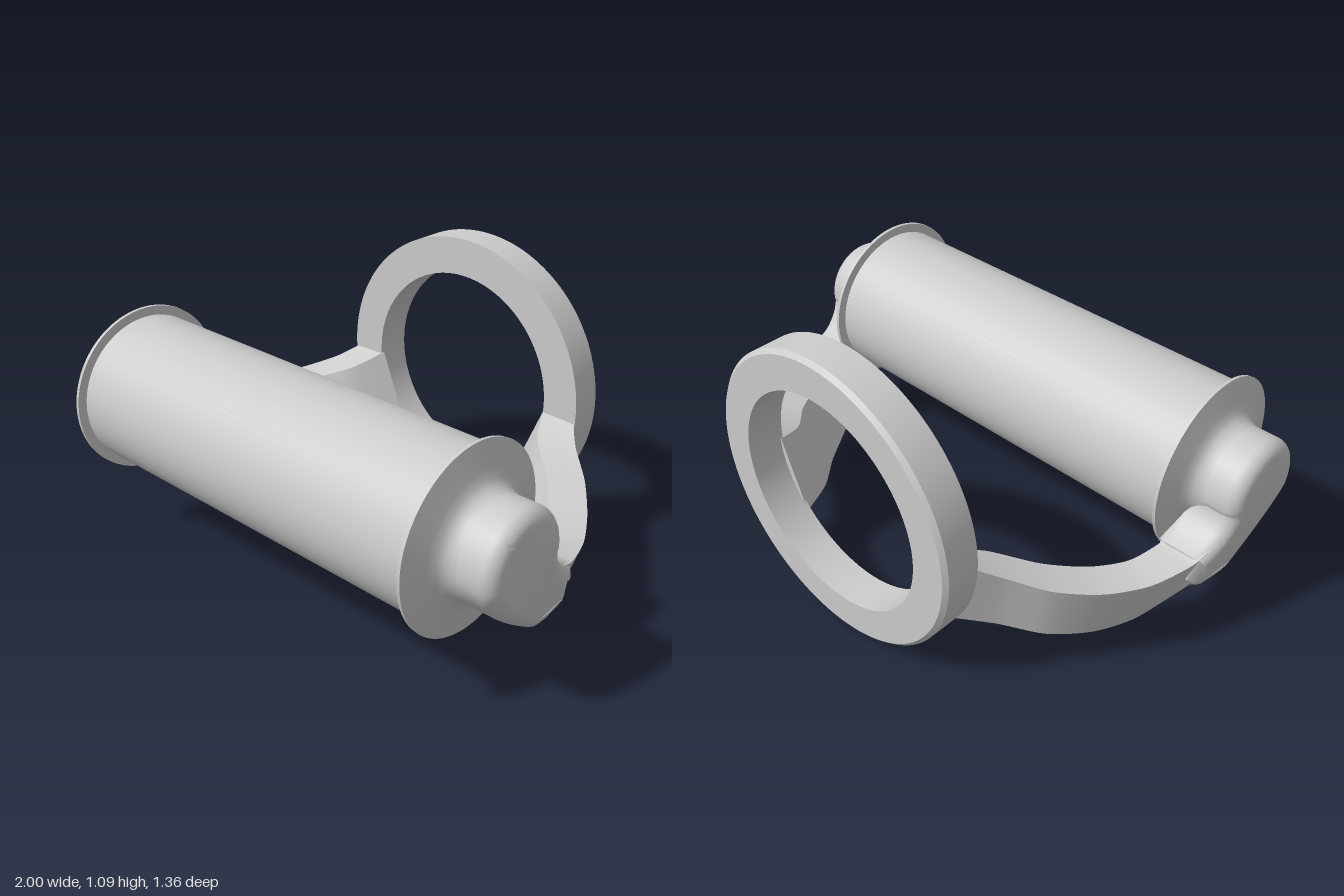
import * as THREE from 'three';
import { toCreasedNormals } from 'three/addons/utils/BufferGeometryUtils.js';

const AXLE_Y = 0.547, AXLE_Z = 0.36;
const material = new THREE.MeshStandardMaterial({ color: 0xcccccc });

function addMesh(parent, name, geometry) {
  const mesh = new THREE.Mesh(geometry, material);
  mesh.name = name;
  parent.add(mesh);
}

const lathe = (points, segments = 96) =>
  toCreasedNormals(new THREE.LatheGeometry(points.map(([r, y]) => new THREE.Vector2(r, y)), segments), 0.5);

// Mirrors a non-indexed geometry across x and restores its winding
function mirrored(geometry) {
  const copy = geometry.clone();
  for (const key of ['position', 'normal']) {
    const a = copy.attributes[key];
    for (let i = 0; i < a.count; i += 3) {
      const t = [0, 2, 1].map((k) => [-a.getX(i + k), a.getY(i + k), a.getZ(i + k)]);
      t.forEach((v, k) => a.setXYZ(i + k, ...v));
    }
  }
  return copy;
}

// Teardrop end knob, drawn in the side plane and extruded outwards
function knobGeometry() {
  const s = new THREE.Shape();
  const r = 0.175;
  s.moveTo(-0.19, 0.52);
  s.absarc(-AXLE_Z, AXLE_Y, r, -0.12, Math.PI + 0.25, false);
  s.bezierCurveTo(-0.5, 0.41, -0.36, 0.31, -0.25, 0.24);
  s.quadraticCurveTo(-0.2, 0.238, -0.1, 0.248);
  s.lineTo(-0.07, 0.29);
  s.lineTo(-0.07, 0.4);
  s.bezierCurveTo(-0.12, 0.42, -0.18, 0.46, -0.19, 0.52);
  const bevel = 0.05;
  const g = new THREE.ExtrudeGeometry(s, {
    depth: 0.12, bevelThickness: bevel, bevelSize: bevel, bevelOffset: -bevel,
    bevelSegments: 6, curveSegments: 24,
  });
  g.rotateY(Math.PI / 2).translate(0.828, 0, 0);
  // The outer face leans inwards towards the arm
  const p = g.attributes.position;
  for (let i = 0; i < p.count; i++) {
    if (p.getX(i) < 0.9) continue;
    const lean = 0.13 * Math.max(0, 0.5 - p.getY(i)) + 0.1 * Math.max(0, 0.2 - p.getZ(i));
    p.setX(i, p.getX(i) - lean);
  }
  return toCreasedNormals(g, 0.6);
}

// Curved arm: four-cornered section swept from the knob back to the ring
function armGeometry() {
  // outer x, outer z, inward turn (deg), top y, bottom y, top width, bottom width, bottom tuck
  const stations = [
    [0.965, 0.16, 0, 0.43, 0.255, 0.15, 0.15, 0.03],
    [0.955, 0.10, 0, 0.408, 0.245, 0.15, 0.16, 0.04],
    [0.94, 0.04, 8, 0.387, 0.168, 0.14, 0.19, 0.08],
    [0.89, -0.10, 20, 0.369, 0.147, 0.13, 0.22, 0.07],
    [0.81, -0.24, 30, 0.378, 0.154, 0.13, 0.23, 0.05],
    [0.71, -0.37, 32, 0.415, 0.18, 0.13, 0.23, 0.04],
    [0.60, -0.47, 20, 0.468, 0.217, 0.14, 0.23, 0.05],
    [0.53, -0.55, 0, 0.52, 0.25, 0.13, 0.24, 0.07],
  ];
  const corners = [[], [], [], []];
  for (const [ox, oz, deg, yTop, yBot, wTop, wBot, tuck] of stations) {
    const a = THREE.MathUtils.degToRad(deg);
    [[0, yTop], [tuck, yBot], [wBot, yBot], [wTop, yTop]].forEach(([w, y], k) =>
      corners[k].push(new THREE.Vector3(ox - w * Math.cos(a), y, oz + w * Math.sin(a))));
  }
  const steps = 42;
  const rails = corners.map((pts) => {
    const curve = new THREE.CatmullRomCurve3(pts, false, 'catmullrom', 0.4);
    return Array.from({ length: steps + 1 }, (_, i) => curve.getPoint(i / steps));
  });
  const out = [];
  const quad = (a, b, c, d) => [a, b, c, a, c, d].forEach((v) => out.push(v.x, v.y, v.z));
  for (let i = 0; i < steps; i++) {
    for (let k = 0; k < 4; k++) {
      const n = (k + 1) % 4;
      quad(rails[k][i], rails[n][i], rails[n][i + 1], rails[k][i + 1]);
    }
  }
  quad(rails[3][0], rails[2][0], rails[1][0], rails[0][0]);
  quad(...rails.map((rail) => rail[steps]));
  const g = new THREE.BufferGeometry();
  g.setAttribute('position', new THREE.Float32BufferAttribute(out, 3));
  return toCreasedNormals(g, 0.5);
}

export function createModel() {
  const model = new THREE.Group();
  model.name = 'rollerBracket';

  // Mounting ring with a chamfered back edge
  const ring = lathe([
    [0.405, -0.68], [0.53, -0.68], [0.545, -0.665], [0.545, -0.54], [0.405, -0.54], [0.405, -0.68],
  ], 128);
  addMesh(model, 'mountingRing', ring.rotateX(Math.PI / 2).translate(0, 0.545, 0));

  // Roller drum
  const drum = new THREE.CylinderGeometry(0.284, 0.284, 1.56, 96);
  addMesh(model, 'roller', drum.rotateZ(-Math.PI / 2).translate(0, AXLE_Y, AXLE_Z));

  // Flange that sweeps into the knob
  const flange = lathe([
    [0, 0.772], [0.318, 0.772], [0.319, 0.784], [0.28, 0.795], [0.235, 0.808],
    [0.205, 0.818], [0.187, 0.833], [0.177, 0.855], [0.173, 0.88], [0, 0.88],
  ]).rotateZ(-Math.PI / 2).translate(0, AXLE_Y, AXLE_Z);

  const parts = { Flange: flange, Knob: knobGeometry(), Arm: armGeometry() };
  for (const [name, geometry] of Object.entries(parts)) {
    addMesh(model, 'left' + name, geometry);
    addMesh(model, 'right' + name, mirrored(geometry));
  }
  return model;
}
